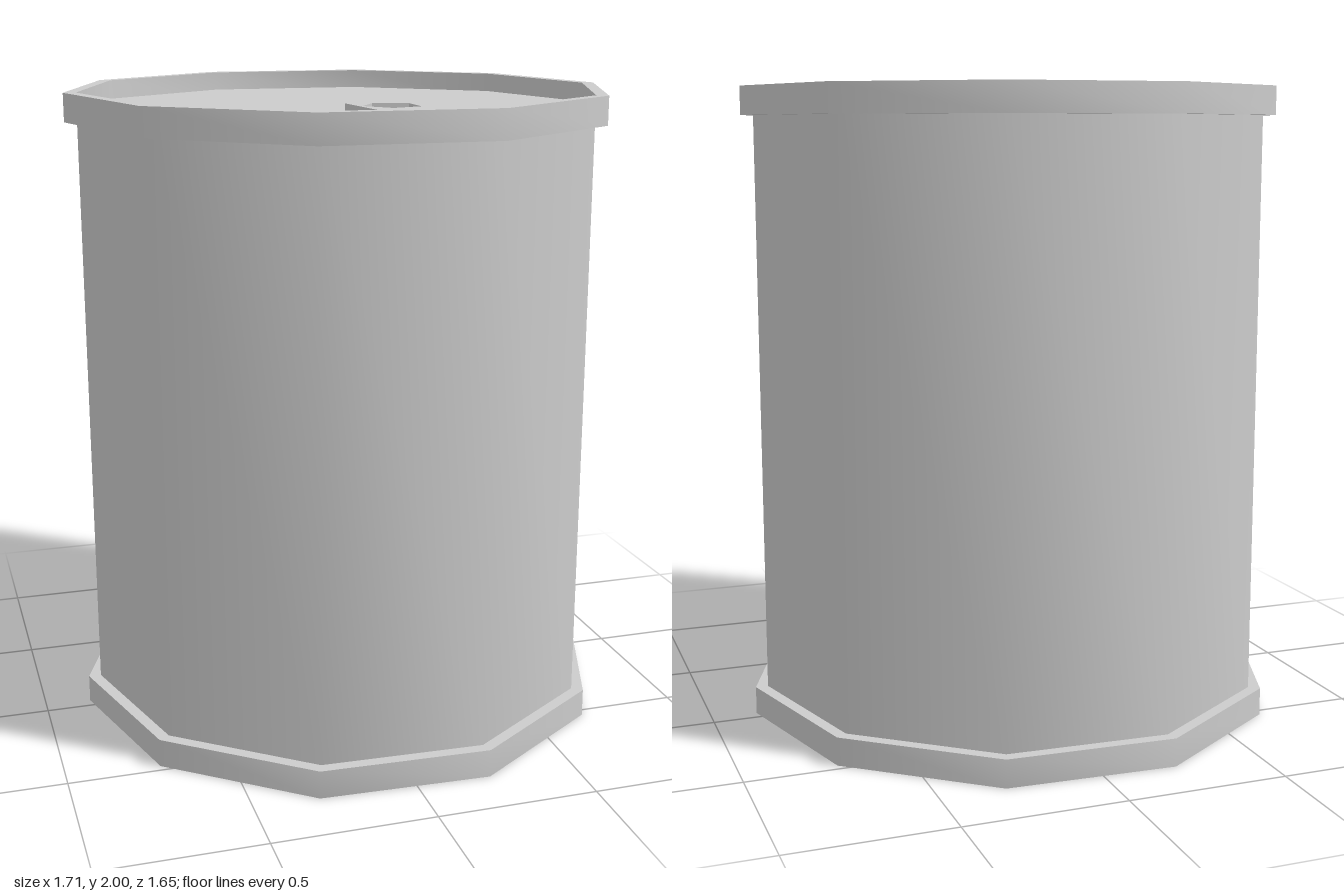
import * as THREE from 'three';
import { toCreasedNormals } from 'three/addons/utils/BufferGeometryUtils.js';

const SIDES = 10;
const TURN = THREE.MathUtils.degToRad(15.6); // slight twist of the decagon
const R_BODY = 0.818, R_RIM = 0.857;
const RIM_H = 0.088, RECESS = 0.06, HEIGHT = 2;

export function createModel() {
  const group = new THREE.Group();
  const grey = new THREE.MeshStandardMaterial({ color: 0xcccccc });

  const add = (name, geometry) => {
    const mesh = new THREE.Mesh(geometry, grey);
    mesh.name = name;
    group.add(mesh);
  };

  // Ten-sided turned part: smooth around the side, sharp at the corners
  const turned = (profile) => {
    const points = profile.map(([r, y]) => new THREE.Vector2(r, y));
    return toCreasedNormals(new THREE.LatheGeometry(points, SIDES, TURN), Math.PI / 4);
  };

  const rim = (y0, y1) => turned([
    [R_RIM, y0], [R_RIM, y1], [R_BODY, y1], [R_BODY, y0], [R_RIM, y0],
  ]);

  // Can wall and recessed ends
  add('body', turned([[R_BODY, RECESS], [R_BODY, HEIGHT - RECESS]]));
  add('lid', turned([[R_BODY, HEIGHT - RECESS], [0, HEIGHT - RECESS]]));
  add('base', turned([[0, RECESS], [R_BODY, RECESS]]));

  // Raised rims
  add('bottomRim', rim(0, RIM_H));
  add('topRim', rim(HEIGHT - RIM_H, HEIGHT));

  // Tapered pull tab with two five-sided holes, drawn as [x, z]
  const toPoints = (list) => list.map(([x, z]) => new THREE.Vector2(x, -z));
  const tab = new THREE.Shape(toPoints([
    [-0.01, 0.76], [0.122, 0.75], [0.145, 0.28], [0.132, 0.256], [-0.05, 0.265], [-0.065, 0.28],
  ]));
  tab.holes = [
    [[0.015, 0.295], [0.12, 0.325], [0.12, 0.435], [0.025, 0.465], [-0.042, 0.38]],
    [[0.035, 0.585], [0.107, 0.62], [0.085, 0.685], [0.042, 0.695], [0, 0.64]],
  ].map((hole) => new THREE.Path(toPoints(hole)));
  const tabGeometry = new THREE.ExtrudeGeometry(tab, { depth: 0.035, bevelEnabled: false });
  tabGeometry.rotateX(-Math.PI / 2).translate(0, HEIGHT - RECESS, 0);
  add('pullTab', tabGeometry);

  return group;
}
